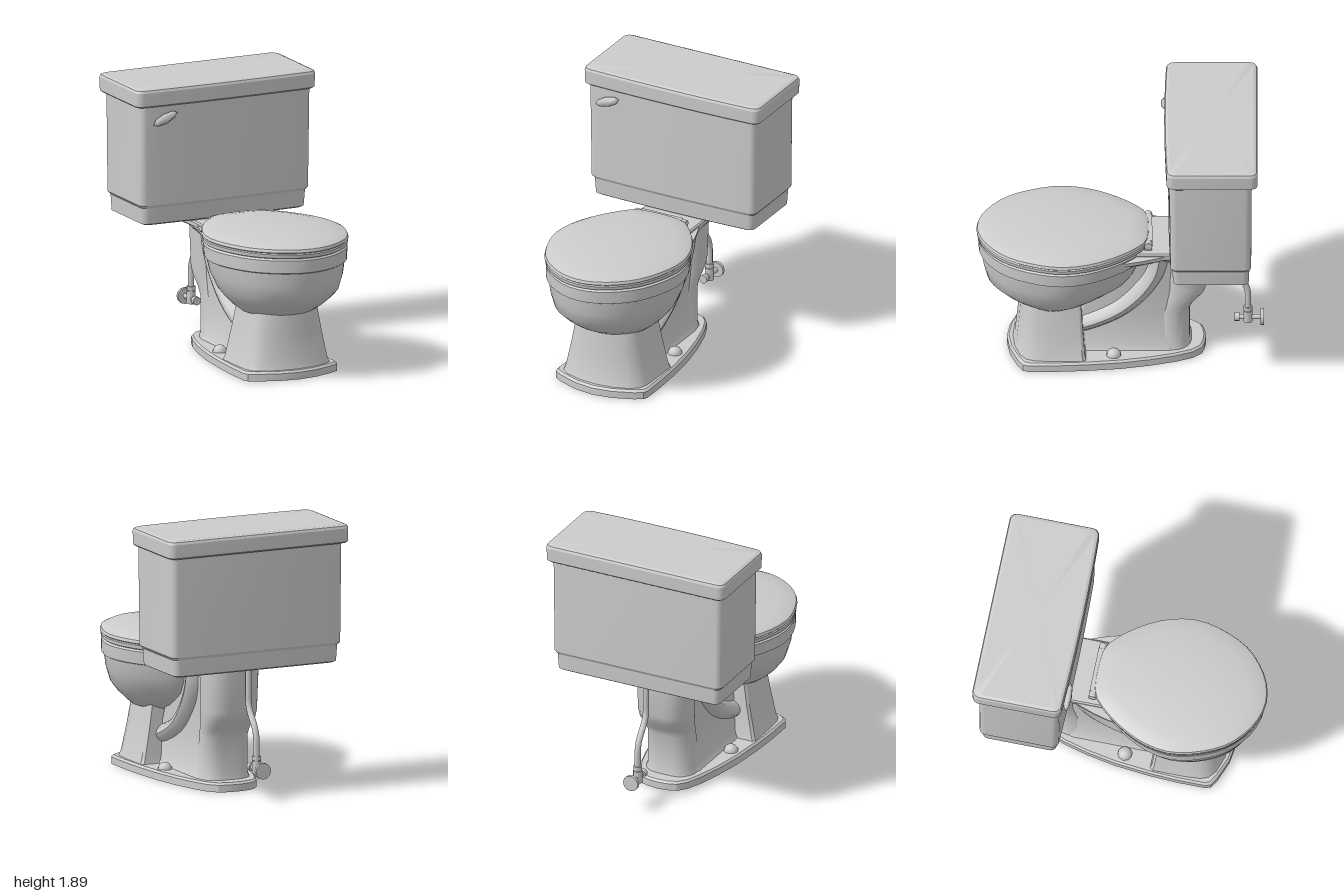
import * as THREE from 'three';
import { toCreasedNormals } from 'three/addons/utils/BufferGeometryUtils.js';

const material = new THREE.MeshStandardMaterial({ color: 0xcccccc });

// Half outline (front to back on +x) mirrored into a closed loop of [u, v]
const mirror = (half) => [
  ...half,
  ...half.filter(([u]) => u > 0.001).reverse().map(([u, v]) => [-u, v]),
];

// Smooth closed loop through the points
function smoothLoop(points, count) {
  const curve = new THREE.CatmullRomCurve3(points.map(([u, v]) => new THREE.Vector3(u, 0, v)), true);
  return curve.getSpacedPoints(count).slice(0, count).map((p) => [p.x, p.z]);
}

// Unit rectangle with rounded corners for a w x d part; the front may bow out
function roundRect(w, d, r, bow = 0) {
  const half = [[0, 1]];
  for (const side of [1, -1]) {
    for (let i = 0; i <= 5; i++) {
      const a = (side > 0 ? 0 : Math.PI / 2) + (i / 5) * Math.PI / 2;
      half.push([1 - (1 - Math.sin(a)) * r / (w / 2), side * (1 - (1 - Math.abs(Math.cos(a))) * r / (d / 2))]);
    }
    if (side > 0) half.splice(1, 0, [0.35, 1], [0.7, 1]);
  }
  return mirror(half.map(([u, v]) => [u, v > 0 ? v - bow * u * u : v]));
}

// Stack a unit outline through rings of [y, halfWidth, zBack, zFront]
function loft(outline, rings, crease = 0.6) {
  const n = outline.length, pos = [], idx = [];
  for (const [y, w, zb, zf] of rings)
    for (const [u, v] of outline) pos.push(u * w, y, zb + (zf - zb) * (v + 1) / 2);
  for (let i = 0; i < rings.length - 1; i++)
    for (let j = 0; j < n; j++) {
      const a = i * n + j, b = i * n + (j + 1) % n;
      idx.push(a, b, b + n, a, b + n, a + n);
    }
  const last = (rings.length - 1) * n, c = rings.length * n;
  for (const [y, , zb, zf] of [rings[0], rings[rings.length - 1]]) pos.push(0, y, (zb + zf) / 2);
  for (let j = 0; j < n; j++) {
    const k = (j + 1) % n;
    idx.push(c, k, j, c + 1, last + j, last + k);
  }
  const g = new THREE.BufferGeometry();
  g.setAttribute('position', new THREE.Float32BufferAttribute(pos, 3));
  g.setIndex(idx);
  return toCreasedNormals(g, crease);
}

export function createModel() {
  const model = new THREE.Group();
  const add = (name, geometry, x = 0, y = 0, z = 0) => {
    const mesh = new THREE.Mesh(geometry, material);
    mesh.name = name;
    mesh.position.set(x, y, z);
    model.add(mesh);
    return mesh;
  };
  const path = (pts) => new THREE.CatmullRomCurve3(pts.map(([y, z]) => new THREE.Vector3(0, y, z)), false, 'centripetal');

  const egg = smoothLoop(mirror([
    [0, 1], [0.22, 0.97], [0.46, 0.87], [0.73, 0.66], [0.91, 0.36], [1, 0.02], [0.94, -0.31], [0.75, -0.64], [0.48, -0.92], [0.34, -1],
  ]), 44);

  // Foot plate: bowed front with corners, narrowing to a round back
  const foot = mirror([
    [0, 1], [0.4, 0.97], [0.8, 0.89], [0.96, 0.84], [1, 0.79], [1, 0.5], [0.97, 0.2], [0.9, -0.15],
    [0.79, -0.45], [0.66, -0.7], [0.53, -0.87], [0.38, -0.96], [0.2, -0.99], [0, -1],
  ]);
  add('footPlate', loft(foot, [
    [0, 0.36, -0.6, 0.78], [0.05, 0.36, -0.6, 0.78], [0.065, 0.345, -0.585, 0.765],
  ], 0.5));

  // Front pedestal: flat back, bowed front, tapering upward
  const pedestal = mirror([
    [0, 1], [0.4, 0.95], [0.75, 0.8], [0.92, 0.62], [0.98, 0.4], [1, 0], [1, -0.92], [0.95, -1], [0, -1],
  ]);
  add('frontPedestal', loft(pedestal, [
    [0.06, 0.33, 0.23, 0.74], [0.1, 0.315, 0.24, 0.725], [0.3, 0.272, 0.255, 0.705], [0.5, 0.235, 0.27, 0.69],
  ]));

  // Web and rear column beneath the shelf
  add('pedestalWeb', loft(roundRect(0.34, 0.8, 0.05), [
    [0.06, 0.2, -0.38, 0.3], [0.1, 0.175, -0.38, 0.3], [0.35, 0.155, -0.4, 0.3],
    [0.6, 0.155, -0.48, 0.2], [0.87, 0.18, -0.48, 0.1],
  ], 0.9));
  add('rearColumn', loft(roundRect(0.38, 0.3, 0.13), [
    [0.06, 0.19, -0.5, -0.2], [0.1, 0.175, -0.49, -0.23], [0.36, 0.17, -0.49, -0.26], [0.42, 0.175, -0.52, -0.28],
    [0.5, 0.19, -0.59, -0.3], [0.56, 0.195, -0.61, -0.31], [0.87, 0.205, -0.62, -0.31],
  ], 0.9));

  // Curved trapway sweeping up to the shelf, widening as it rises
  const trapway = new THREE.TubeGeometry(
    path([[0.25, 0.32], [0.295, 0.18], [0.4, -0.01], [0.57, -0.17], [0.72, -0.25], [0.87, -0.28]]), 28, 0.095, 18);
  const p = trapway.attributes.position;
  for (let i = 0; i < p.count; i++) {
    const rise = Math.max(0, p.getY(i) - 0.25);
    p.setX(i, p.getX(i) * (2.2 + 0.5 * rise));
  }
  trapway.computeVertexNormals();
  add('trapway', trapway);

  // Neck and shelf carrying the tank
  const neck = mirror([[0, 1], [0.9, 1], [1, 0.75], [0.97, 0.4], [0.88, 0], [0.73, -0.5], [0.71, -1], [0, -1]]);
  add('neck', loft(neck, [
    [0.79, 0.24, -0.36, 0.08], [0.855, 0.325, -0.45, 0.1], [0.885, 0.33, -0.45, 0.1],
  ]));
  add('tankShelf', loft(roundRect(0.47, 0.7, 0.03), [
    [0.86, 0.232, -0.635, 0], [0.87, 0.24, -0.64, 0], [0.895, 0.24, -0.64, 0], [0.905, 0.23, -0.63, 0],
  ]));

  // Bowl with its raised rim band
  add('bowl', loft(egg, [
    [0.425, 0.2, 0.3, 0.62], [0.445, 0.27, 0.22, 0.7], [0.49, 0.325, 0.12, 0.78], [0.54, 0.375, 0.05, 0.85],
    [0.6, 0.42, -0.03, 0.92], [0.7, 0.458, -0.1, 0.945], [0.8, 0.475, -0.14, 0.96],
  ], 0.8));
  add('rim', loft(egg, [
    [0.795, 0.47, -0.12, 0.955], [0.805, 0.49, -0.15, 0.975], [0.895, 0.494, -0.17, 0.98], [0.908, 0.48, -0.16, 0.965],
  ]));

  // Seat and domed lid
  add('seat', loft(egg, [
    [0.905, 0.475, -0.165, 0.965], [0.915, 0.495, -0.18, 0.985], [0.94, 0.498, -0.185, 0.99], [0.95, 0.49, -0.175, 0.98],
  ]));
  add('seatLid', loft(egg, [
    [0.945, 0.49, -0.175, 0.98], [0.955, 0.502, -0.19, 0.992], [0.975, 0.495, -0.185, 0.985], [0.988, 0.465, -0.165, 0.955],
    [1.005, 0.38, -0.07, 0.85], [1.022, 0.24, 0.1, 0.68], [1.03, 0.1, 0.27, 0.51],
  ], 0.7));

  // Hinge bar, posts and the bolt caps on the foot
  add('hingeBar', new THREE.BoxGeometry(0.32, 0.04, 0.045), 0, 0.95, -0.205);
  for (const side of [-1, 1]) {
    add('hingePost', new THREE.CylinderGeometry(0.028, 0.028, 0.045, 10), side * 0.18, 0.945, -0.2).rotation.z = Math.PI / 2;
    add('hingeFoot', new THREE.BoxGeometry(0.04, 0.06, 0.05), side * 0.17, 0.925, -0.2);
    add('boltCap', new THREE.SphereGeometry(0.052, 10, 4, 0, Math.PI * 2, 0, Math.PI / 2), side * 0.245, 0.062, 0.04);
  }

  // Tank with a stepped bottom
  add('tank', loft(roundRect(1.31, 0.56, 0.045, 0.05), [
    [0.91, 0.61, -0.88, -0.375], [0.92, 0.63, -0.895, -0.36], [1.035, 0.637, -0.9, -0.352],
    [1.055, 0.655, -0.912, -0.34], [1.77, 0.662, -0.915, -0.332],
  ], 0.4));
  add('tankLid', loft(roundRect(1.39, 0.64, 0.05, 0.05), [
    [1.76, 0.685, -0.945, -0.325], [1.77, 0.695, -0.955, -0.312], [1.865, 0.697, -0.957, -0.31],
    [1.882, 0.69, -0.95, -0.317], [1.89, 0.67, -0.93, -0.335],
  ], 0.33));

  // Flush lever: a pointed leaf on a short stem
  const lever = add('flushLever', new THREE.SphereGeometry(1, 6, 4).rotateZ(Math.PI / 2).scale(0.1, 0.036, 0.028), -0.49, 1.675, -0.312);
  lever.rotation.z = 0.38;
  add('leverStem', new THREE.CylinderGeometry(0.022, 0.022, 0.06, 10), -0.46, 1.685, -0.335).rotation.x = Math.PI / 2;

  // Water supply pipe, shut-off valve and handle
  add('supplyPipe', new THREE.TubeGeometry(
    path([[0.93, -0.765], [0.75, -0.765], [0.66, -0.767], [0.6, -0.79], [0.5, -0.865], [0.44, -0.887], [0.35, -0.89], [0.2, -0.89]]),
    36, 0.022, 10));
  add('pipeNut', new THREE.CylinderGeometry(0.032, 0.032, 0.03, 8), 0, 0.29, -0.89);
  add('valveBody', new THREE.CylinderGeometry(0.032, 0.032, 0.09, 10), 0, 0.225, -0.89);
  const valveParts = [
    ['valveStem', 0.018, 0.18, -0.9], ['valveKnob', 0.03, 0.035, -0.815], ['wallFlange', 0.058, 0.024, -0.988],
  ];
  for (const [name, r, length, z] of valveParts)
    add(name, new THREE.CylinderGeometry(r, r, length, 12), 0, 0.215, z).rotation.x = Math.PI / 2;

  return model;
}
